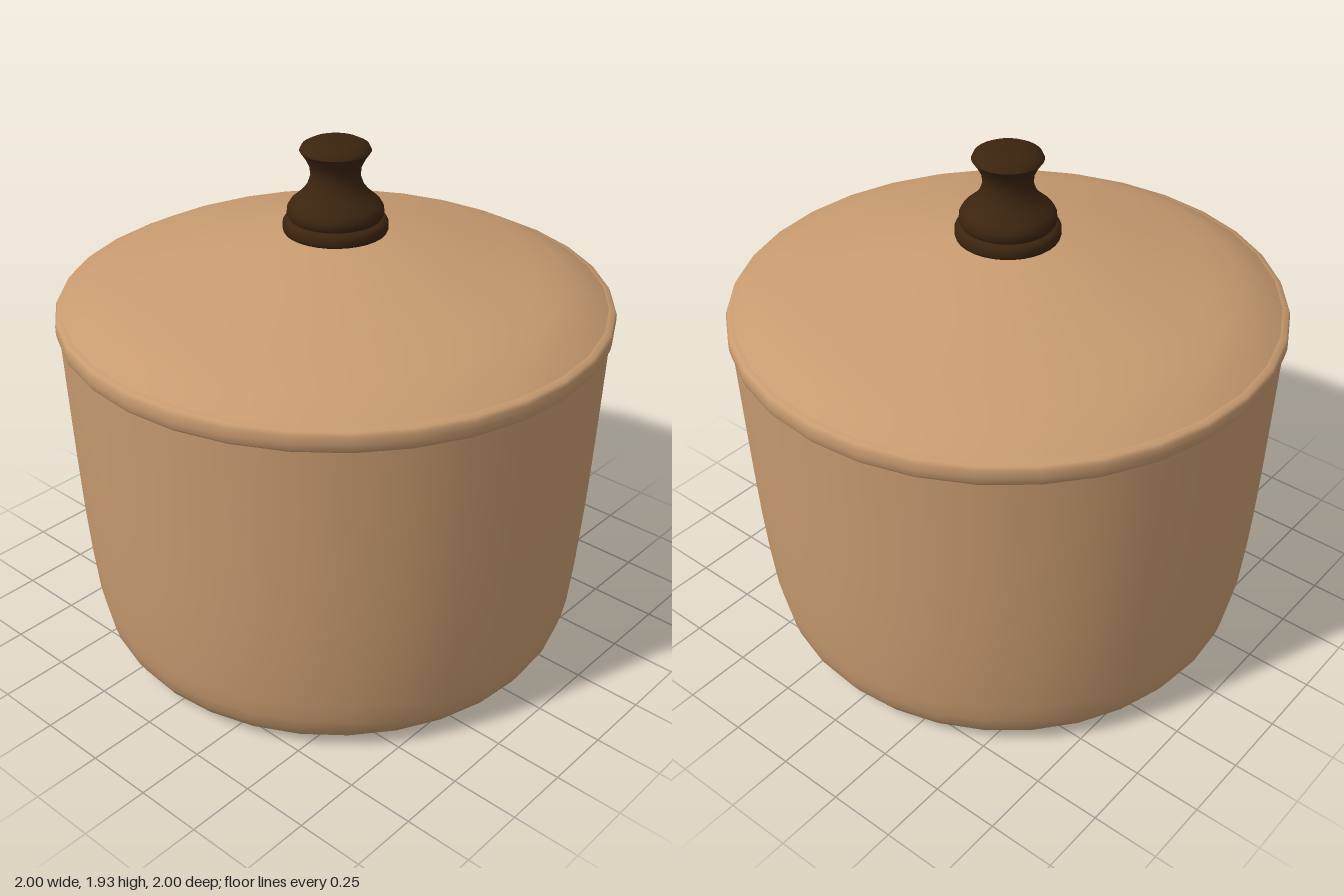
import * as THREE from 'three';

const SEGMENTS = 32;

const clay = new THREE.MeshStandardMaterial({ color: 0xc89b70 });
clay.name = 'tan clay';
const wood = new THREE.MeshStandardMaterial({ color: 0x3b240f });
wood.name = 'dark wood';

// Revolves a bottom-to-top [radius, height] profile; normals are smooth within one part.
function turned(name, material, profile) {
  const points = profile.map(([r, y]) => new THREE.Vector2(r, y));
  const mesh = new THREE.Mesh(new THREE.LatheGeometry(points, SEGMENTS), material);
  mesh.name = name;
  return mesh;
}

export function createModel() {
  const pot = new THREE.Group();
  pot.name = 'lidded pot';

  // Slightly domed underside, rounded foot and gently flaring wall
  pot.add(turned('base', clay, [[0, 0], [0.4, 0.006], [0.775, 0.016]]));
  pot.add(turned('wall', clay, [
    [0.775, 0.016], [0.82, 0.024], [0.87, 0.05], [0.898, 0.095], [0.912, 0.145],
    [0.926, 0.22], [0.944, 0.4], [0.957, 0.58], [0.968, 0.8], [0.978, 1.04], [0.987, 1.275],
  ]));

  // Rim band around the mouth
  pot.add(turned('rim', clay, [
    [0.987, 1.275], [0.996, 1.287], [1, 1.31], [1, 1.335], [0.993, 1.35], [0.972, 1.354],
  ]));

  // Lid with a shallow cone and a rounded shoulder
  pot.add(turned('lid', clay, [
    [0.972, 1.354], [0.925, 1.385], [0.875, 1.411], [0.82, 1.435], [0.71, 1.47],
    [0.47, 1.53], [0.19, 1.602], [0, 1.605],
  ]));

  // Turned knob: collar, bulb, narrow neck and flared cap
  const knob = new THREE.Group();
  knob.name = 'knob';
  knob.add(turned('knobCollar', wood, [
    [0, 1.6], [0.183, 1.6], [0.187, 1.612], [0.186, 1.632], [0.178, 1.645], [0.163, 1.65],
  ]));
  knob.add(turned('knobStem', wood, [
    [0.163, 1.65], [0.171, 1.665], [0.17, 1.685], [0.158, 1.705], [0.125, 1.733],
    [0.101, 1.762], [0.087, 1.8], [0.091, 1.835], [0.106, 1.865], [0.125, 1.892],
  ]));
  knob.add(turned('knobCap', wood, [
    [0.125, 1.892], [0.117, 1.908], [0.09, 1.922], [0.05, 1.929], [0, 1.93],
  ]));
  pot.add(knob);

  return pot;
}
